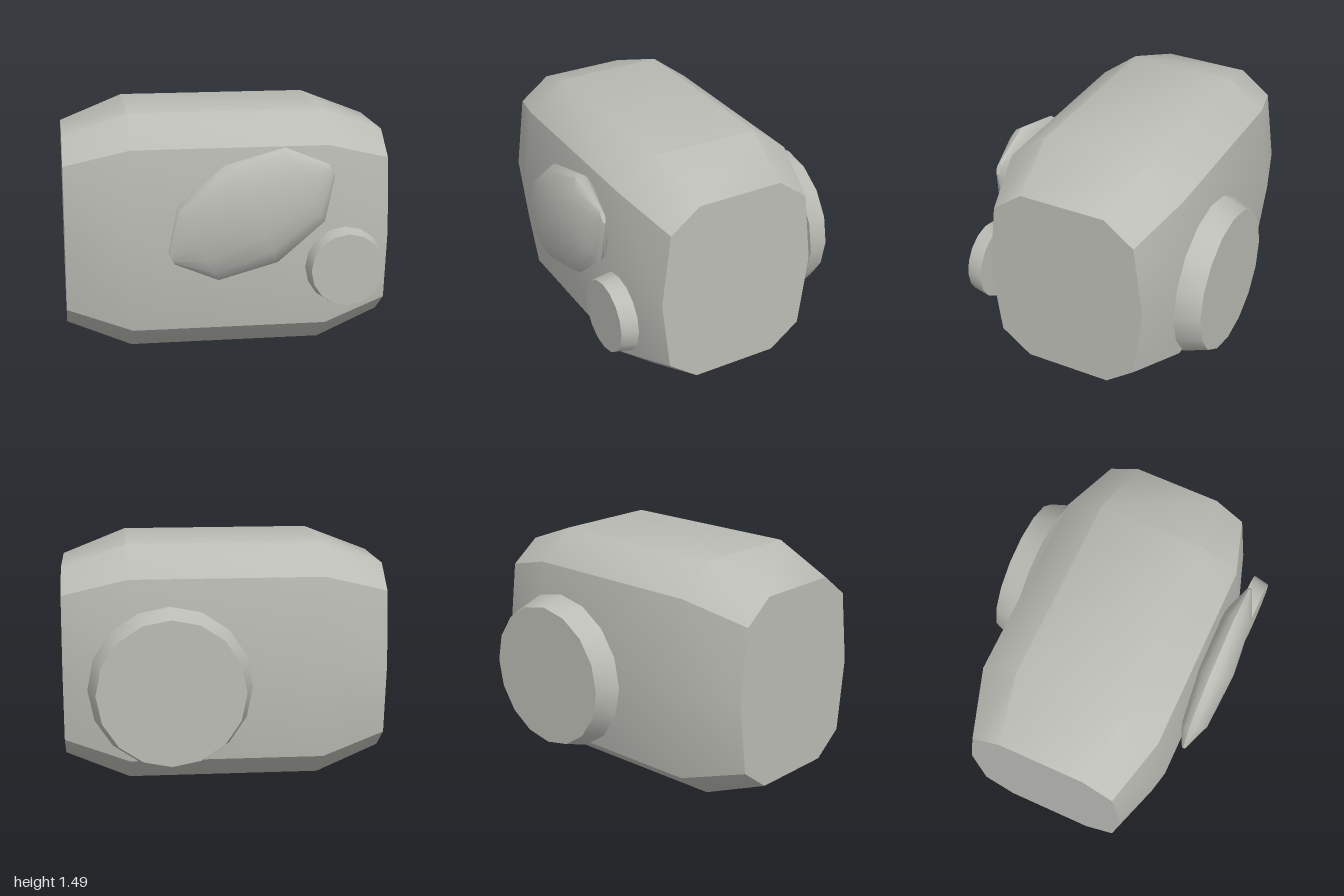
import * as THREE from 'three';
import { toCreasedNormals } from 'three/addons/utils/BufferGeometryUtils.js';

const CREASE = THREE.MathUtils.degToRad(41);

export function createModel() {
  const group = new THREE.Group();
  const stone = new THREE.MeshStandardMaterial({ color: 0xbcbcb6 });
  stone.name = 'pale grey';

  function add(name, geometry, x, y, z) {
    const mesh = new THREE.Mesh(toCreasedNormals(geometry, CREASE), stone);
    mesh.name = name;
    mesh.position.set(x, y, z);
    group.add(mesh);
  }

  // Body: ten-sided section swept along x, tapering at both ends
  add('body', bodyGeometry(), 0, 0.745, 0);

  // Large tapered disc on the back
  add('backDisc', new THREE.CylinderGeometry(0.45, 0.5, 0.15, 16).rotateX(-Math.PI / 2), 0.35, 0.66, -0.722);

  // Small tapered disc on the front
  add('frontDisc', new THREE.CylinderGeometry(0.225, 0.245, 0.105, 16).rotateX(Math.PI / 2), 0.7, 0.57, 0.692);

  // Flattened, tilted pod on the front
  const profile = [[0, -0.55], [0.04, -0.55], [0.263, -0.367], [0.346, 0], [0.263, 0.367], [0.04, 0.55], [0, 0.55]]
    .map(([r, h]) => new THREE.Vector2(r, h));
  const pod = new THREE.LatheGeometry(profile, 16).scale(1, 1, 0.335).rotateZ(-1.079);
  add('frontPod', pod, 0.115, 0.924, 0.68);

  return group;
}

function bodyGeometry() {
  // Section as [z, y], counter-clockwise when y points up and z right
  const section = [
    [0.645, 0], [0.575, 0.567], [0.34, 0.745], [-0.34, 0.745], [-0.575, 0.567],
    [-0.645, 0], [-0.575, -0.567], [-0.34, -0.745], [0.34, -0.745], [0.575, -0.567],
  ];
  const rings = [[-1, 0.8], [-0.6, 1], [0.6, 1], [1, 0.8]];
  const n = section.length;
  const positions = [];
  const index = [];
  for (const [x, s] of rings) {
    for (const [z, y] of section) positions.push(x, y * s, z * s);
  }
  // Side walls
  for (let r = 0; r < rings.length - 1; r++) {
    for (let i = 0; i < n; i++) {
      const j = (i + 1) % n;
      const a = r * n + i, b = r * n + j, c = a + n, d = b + n;
      index.push(a, c, b, b, c, d);
    }
  }
  // End caps
  const last = (rings.length - 1) * n;
  for (let i = 1; i < n - 1; i++) {
    index.push(0, i, i + 1);
    index.push(last, last + i + 1, last + i);
  }
  const geometry = new THREE.BufferGeometry();
  geometry.setAttribute('position', new THREE.Float32BufferAttribute(positions, 3));
  geometry.setIndex(index);
  return geometry;
}
